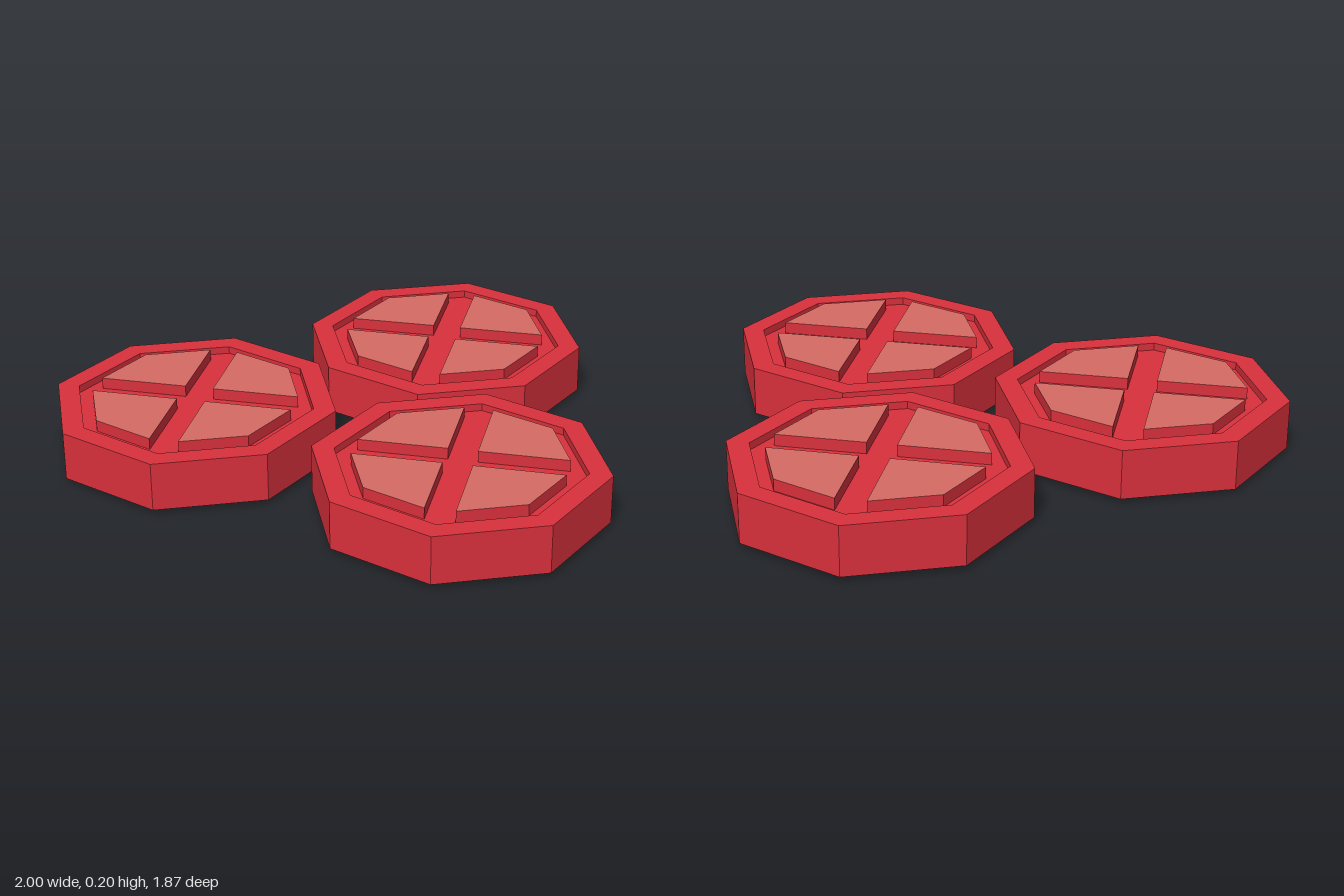
import * as THREE from 'three';

const RED = new THREE.MeshStandardMaterial({ color: 0xd8303c, flatShading: true });
const PINK = new THREE.MeshStandardMaterial({ color: 0xd66a64, flatShading: true });

const HEIGHT = 0.2;
const OUTER = 0.497;    // rim, outside
const INNER = 0.42;     // rim, inside
const PANEL = 0.373;    // outer corner of the panels
const GAP = 0.07;       // inner corner of the panels

function octagon(radius) {
  return Array.from({ length: 8 }, (_, i) => {
    const a = (i * Math.PI) / 4;
    return new THREE.Vector2(radius * Math.cos(a), radius * Math.sin(a));
  });
}

// Extrudes a flat outline upwards, between heights y0 and y1
function slab(shape, y0, y1) {
  const geometry = new THREE.ExtrudeGeometry(shape, { depth: y1 - y0, bevelEnabled: false });
  geometry.rotateX(-Math.PI / 2);
  geometry.translate(0, y0, 0);
  return geometry;
}

function addPart(group, name, geometry, material) {
  const mesh = new THREE.Mesh(geometry, material);
  mesh.name = name;
  group.add(mesh);
  return mesh;
}

function createDisc(name, x, z) {
  const disc = new THREE.Group();
  disc.name = name;
  disc.position.set(x, 0, z);

  // Octagonal rim
  const rim = new THREE.Shape(octagon(OUTER));
  rim.holes.push(new THREE.Path(octagon(INNER).reverse()));
  addPart(disc, 'rim', slab(rim, 0.016, 0.186), RED);

  // Sunken floor, which shows as a cross between the panels
  addPart(disc, 'floor', slab(new THREE.Shape(octagon(INNER)), 0.04, HEIGHT - 0.04), RED);

  // Four raised panels, with light faces above and below and red sides
  const k = Math.SQRT2 - 1;
  const cx = (PANEL - GAP) / (1 + k);
  const panel = slab(new THREE.Shape([
    new THREE.Vector2(0, GAP),
    new THREE.Vector2(cx, cx + GAP),
    new THREE.Vector2(0, PANEL),
    new THREE.Vector2(-cx, cx + GAP),
  ]), 0, HEIGHT);
  for (let i = 0; i < 4; i++) {
    addPart(disc, 'panel', panel, [PINK, RED]).rotation.y = (i * Math.PI) / 2;
  }
  return disc;
}

export function createModel() {
  const model = new THREE.Group();
  model.name = 'threeDiscs';
  model.add(
    createDisc('rightDisc', -0.503, -0.44),
    createDisc('leftDisc', 0.503, -0.393),
    createDisc('frontDisc', 0, 0.434),
  );
  return model;
}
